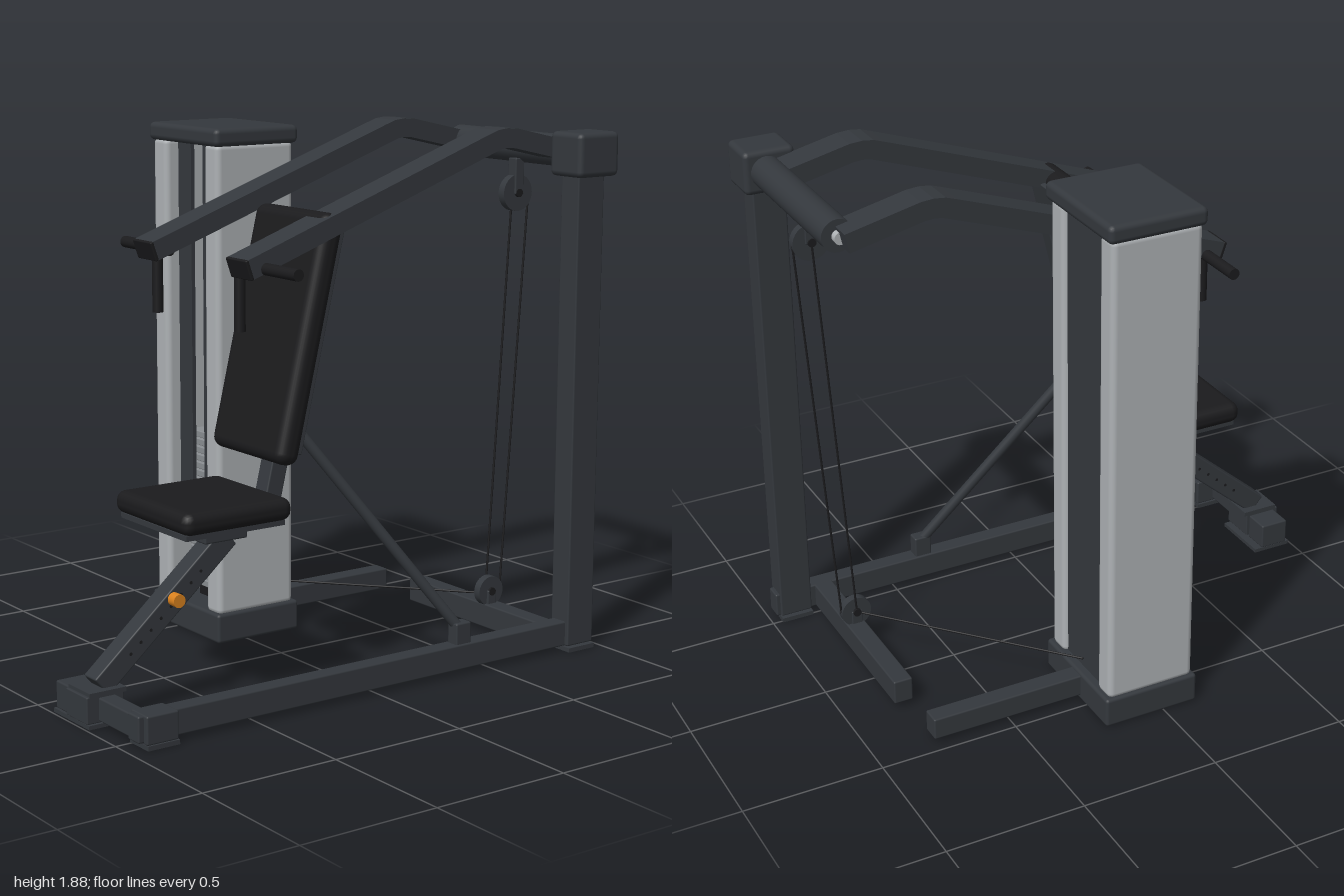
import * as THREE from 'three';
import { RoundedBoxGeometry } from 'three/addons/geometries/RoundedBoxGeometry.js';

export function createModel() {
  const model = new THREE.Group();
  model.name = 'pressMachine';
  const mat = (color) => new THREE.MeshStandardMaterial({ color });
  const steel = mat(0x34383d), black = mat(0x1b1b1d), silver = mat(0xaeb2b5);
  const plateGrey = mat(0x8a8e92), orange = mat(0xd9811e);

  const add = (name, geometry, material, parent = model) => {
    const mesh = new THREE.Mesh(geometry, material);
    mesh.name = name;
    parent.add(mesh);
    return mesh;
  };
  // Box given by its limits on each axis, with optional rounded edges
  const box = (name, x0, x1, y0, y1, z0, z1, material = steel, r = 0.006) => {
    const s = [x1 - x0, y1 - y0, z1 - z0];
    const geo = r ? new RoundedBoxGeometry(...s, 2, r) : new THREE.BoxGeometry(...s);
    const mesh = add(name, geo, material);
    mesh.position.set((x0 + x1) / 2, (y0 + y1) / 2, (z0 + z1) / 2);
    return mesh;
  };
  // Place a y-aligned geometry between two points
  const span = (name, a, b, makeGeo, material) => {
    const p = new THREE.Vector3(...a), q = new THREE.Vector3(...b);
    const d = q.clone().sub(p);
    const mesh = add(name, makeGeo(d.length()), material);
    mesh.position.copy(p).add(q).multiplyScalar(0.5);
    mesh.quaternion.setFromUnitVectors(new THREE.Vector3(0, 1, 0), d.normalize());
    return mesh;
  };
  const rod = (name, a, b, r, material = steel, sides = 24) =>
    span(name, a, b, (l) => new THREE.CylinderGeometry(r, r, l, sides), material);
  const beam = (name, a, b, w, t, material = steel, r = 0.006) =>
    span(name, a, b, (l) => new RoundedBoxGeometry(w, l, t, 3, r), material);

  // Floor frame
  box('sideFloorBeam', 0.51, 0.575, 0.02, 0.11, -0.98, 0.96);
  box('rearFloorBeam', -0.21, 0.52, 0.02, 0.11, -0.825, -0.755);
  box('frontFloorBeam', 0.1, 0.53, 0.025, 0.105, 0.89, 0.955);
  box('towerFloorBeam', -0.465, -0.395, 0.02, 0.1, -0.79, -0.2);
  box('frontCornerSleeve', 0.497, 0.595, 0.015, 0.112, 0.82, 0.94);
  box('frontEndSleeve', 0.09, 0.19, 0.012, 0.108, 0.87, 0.98);
  box('frontFootPlate', 0.09, 0.32, 0, 0.014, 0.84, 0.99, steel, 0);
  box('cornerFootPlate', 0.49, 0.6, 0, 0.016, 0.82, 0.94, steel, 0);
  box('postFootPlate', 0.49, 0.6, 0, 0.016, -0.965, -0.845, steel, 0);

  // Rear post and pivot tube
  box('rearPost', 0.5, 0.59, 0.02, 1.73, -0.965, -0.845);
  box('postCap', 0.468, 0.628, 1.71, 1.865, -1, -0.815, steel, 0.02);
  rod('pivotTube', [-0.14, 1.788, -0.92], [0.48, 1.788, -0.92], 0.057);
  rod('pivotPin', [-0.165, 1.788, -0.92], [-0.13, 1.788, -0.92], 0.022, silver);

  // Weight tower housing
  box('towerBase', -0.655, -0.21, 0, 0.11, -0.228, 0.13, steel, 0.012);
  box('towerCap', -0.655, -0.21, 1.805, 1.87, -0.228, 0.13, steel, 0.02);
  for (const side of [-1, 1]) {
    const x = -0.4325 + side * 0.166;
    box('towerColumn', x - 0.045, x + 0.045, 0.1, 1.815, -0.212, 0.118, silver, 0.022);
    const c = -0.4325 + side * 0.08;
    box('towerFrontPanel', c - 0.042, c + 0.042, 0.36, 1.81, 0.05, 0.065, steel, 0);
    rod('guideRod', [-0.4325 + side * 0.07, 0.1, -0.05], [-0.4325 + side * 0.07, 1.81, -0.05], 0.01, silver, 12);
  }
  box('towerBackPanel', -0.56, -0.305, 0.1, 1.81, -0.195, -0.18, steel, 0);

  // Weight stack and selector
  box('stackCushion', -0.5, -0.365, 0.1, 0.15, -0.13, 0.02, black, 0);
  for (let i = 0; i < 20; i++) {
    const y = 0.15 + i * 0.0297;
    box('weightPlate', -0.537, -0.328, y, y + 0.024, -0.14, 0.035, plateGrey, 0.003);
  }
  rod('selectorStem', [-0.4325, 0.7, -0.05], [-0.4325, 0.82, -0.05], 0.018);
  box('stackHead', -0.462, -0.403, 0.8, 0.85, -0.08, -0.02);
  rod('selectorPin', [-0.4325, 0.55, 0.02], [-0.4325, 0.55, 0.08], 0.017, orange);
  rod('stackCable', [-0.4325, 0.85, -0.05], [-0.4325, 1.81, -0.05], 0.004, black, 8);

  // Bent press arms: side outline extruded across the width
  const path = [[0.453, 1.478], [-0.55, 1.833], [-0.585, 1.845], [-0.62, 1.849],
    [-0.66, 1.846], [-0.7, 1.837], [-0.92, 1.788]].map((p) => new THREE.Vector2(...p));
  const offset = (h) => path.map((p, i) => {
    const d = path[Math.min(i + 1, path.length - 1)].clone().sub(path[Math.max(i - 1, 0)]).normalize();
    return new THREE.Vector2(p.x - d.y * h, p.y + d.x * h);
  });
  const outline = new THREE.Shape([...offset(0.034), ...offset(-0.034).reverse()]);
  const armGeo = new THREE.ExtrudeGeometry(outline, { depth: 0.116, bevelEnabled: false });
  armGeo.translate(0, 0, -0.058).rotateY(-Math.PI / 2);
  for (const side of [-1, 1]) {
    const x = 0.128 + side * 0.285;
    add('pressArm', armGeo, steel).position.x = x;
    beam('armEndCap', [x, 1.475, 0.462], [x, 1.479, 0.45], 0.118, 0.07, black, 0.004).rotation.x = -1.23;
    rod('sideHandle', [x - side * 0.055, 1.477, 0.393], [x + side * 0.237, 1.477, 0.393], 0.02, black);
    const g = x - side * 0.036;
    rod('downHandle', [g, 1.265, 0.432], [g, 1.47, 0.432], 0.019, black);
  }

  // Seat
  const cx = 0.26;
  box('seatPad', 0.035, 0.485, 0.632, 0.71, 0.29, 0.716, black, 0.034);
  box('seatPlate', 0.06, 0.46, 0.616, 0.634, 0.31, 0.7, steel, 0);
  box('seatBlock', 0.192, 0.328, 0.553, 0.62, 0.37, 0.54);
  beam('seatBridge', [cx, 0.588, 0.4], [cx, 0.598, 0.24], 0.07, 0.05);
  beam('seatPost', [cx, 0.125, 0.925], [cx, 0.56, 0.42], 0.076, 0.08);
  box('seatPostFoot', 0.19, 0.325, 0.02, 0.112, 0.86, 1, steel, 0.004);
  box('seatPostPlate', 0.19, 0.325, 0.108, 0.124, 0.85, 0.99, steel, 0);
  rod('adjustKnob', [0.29, 0.38, 0.647], [0.335, 0.38, 0.647], 0.023, orange);
  for (let i = 0; i < 8; i++) {
    const y = 0.22 + i * 0.034, z = 0.815 - i * 0.0395;
    rod('adjustHole', [0.221, y, z], [0.299, y, z], 0.006, black, 8);
  }

  // Reclined backrest
  beam('backPad', [cx, 0.812, 0.3], [cx, 1.635, 0.105], 0.42, 0.088, black, 0.038);
  beam('backPlate', [cx, 0.84, 0.238], [cx, 1.6, 0.058], 0.36, 0.02, steel, 0.004);
  beam('backrestTube', [cx, 0.58, 0.26], [cx, 1.53, 0.035], 0.07, 0.066);
  rod('backrestStrut', [0.26, 0.925, 0.158], [0.545, 0.16, -0.375], 0.019);
  box('strutBracket', 0.518, 0.568, 0.1, 0.185, -0.41, -0.345);

  // Pulleys and cable
  const px = 0.22;
  for (const [name, y, z, r] of [['lowerPulley', 0.155, -0.785, 0.056], ['upperPulley', 1.625, -0.878, 0.066]]) {
    rod(name, [px - 0.015, y, z], [px + 0.015, y, z], r, steel, 32);
    rod(name + 'Axle', [px - 0.025, y, z], [px + 0.025, y, z], 0.015, black, 16);
  }
  box('upperPulleyBracket', 0.2, 0.243, 1.62, 1.75, -0.9, -0.86, steel, 0.004);
  box('lowerPulleyBracket', 0.2, 0.243, 0.1, 0.16, -0.805, -0.765, steel, 0.004);
  rod('towerCable', [-0.43, 0.145, -0.2], [0.205, 0.145, -0.765], 0.004, black, 8);
  rod('frontCable', [0.203, 0.15, -0.785], [0.203, 1.62, -0.878], 0.004, black, 8);
  rod('rearCable', [px, 0.155, -0.838], [px, 1.625, -0.94], 0.004, black, 8);

  return model;
}
